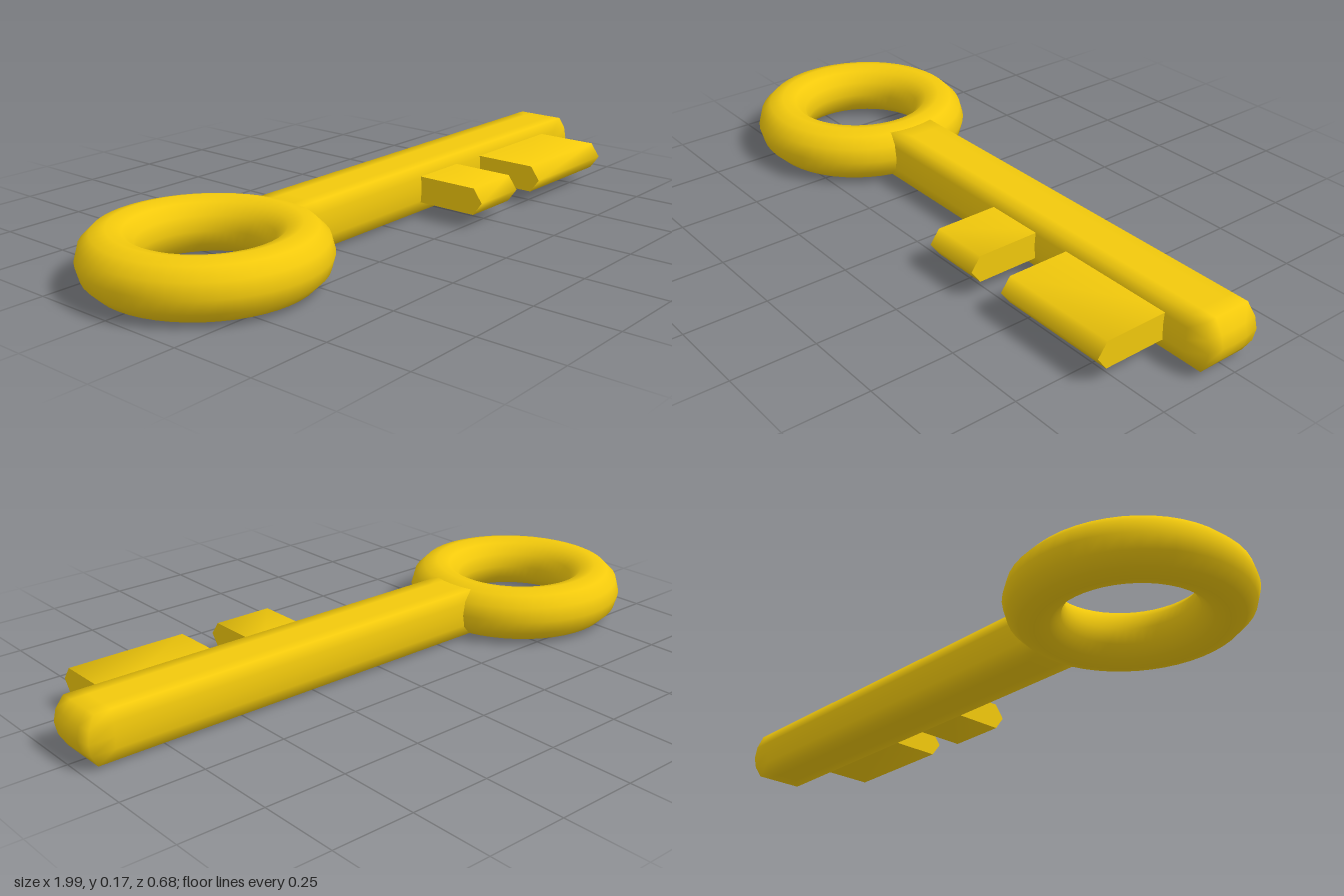
import * as THREE from 'three';
import { mergeVertices, toCreasedNormals } from 'three/addons/utils/BufferGeometryUtils.js';

const MID = 0.083; // height of the key's middle plane

export function createModel() {
  const key = new THREE.Group();
  key.name = 'key';
  const gold = new THREE.MeshStandardMaterial({ color: 0xf2c90c });

  const add = (name, geometry, x = 0) => {
    const mesh = new THREE.Mesh(geometry, gold);
    mesh.name = name;
    mesh.position.set(x, MID, 0);
    key.add(mesh);
  };

  // Ring handle with a twelve-sided tube
  add('ringHandle', new THREE.TorusGeometry(0.257, 0.083, 12, 48).rotateX(Math.PI / 2), -0.66);

  // Shaft: a bar whose sides bulge slightly and whose far end is rounded
  const x0 = -0.4, x1 = 0.993, half = 0.073;
  let shaft = new THREE.BoxGeometry(x1 - x0, 2 * half, 0.176, 16, 4, 4);
  shaft.translate((x0 + x1) / 2, 0, 0);
  const p = shaft.attributes.position;
  for (let i = 0; i < p.count; i++) {
    const t = (p.getY(i) / half) ** 2;
    const side = Math.abs(p.getZ(i)) / 0.088;
    p.setZ(i, p.getZ(i) * (1 - 0.125 * t));
    if (p.getX(i) > x1 - 0.01) p.setX(i, x1 - 0.038 * t - 0.01 * side ** 2 * (1 - t));
  }
  shaft.deleteAttribute('normal');
  shaft.deleteAttribute('uv');
  shaft = mergeVertices(shaft);
  shaft.computeVertexNormals();
  add('shaft', shaft);

  // Teeth: flat bits with a bevelled front edge
  const h = 0.041;
  const profile = new THREE.Shape([
    [-0.05, -h], [-0.05, h], [-0.28, h], [-0.31, 0], [-0.28, -h],
  ].map(([x, y]) => new THREE.Vector2(x, y)));
  for (const [name, from, to] of [['innerTooth', 0.15, 0.335], ['outerTooth', 0.46, 0.83]]) {
    const bit = new THREE.ExtrudeGeometry(profile, { depth: to - from, bevelEnabled: false });
    add(name, toCreasedNormals(bit.rotateY(Math.PI / 2), 1.3), from);
  }
  return key;
}
